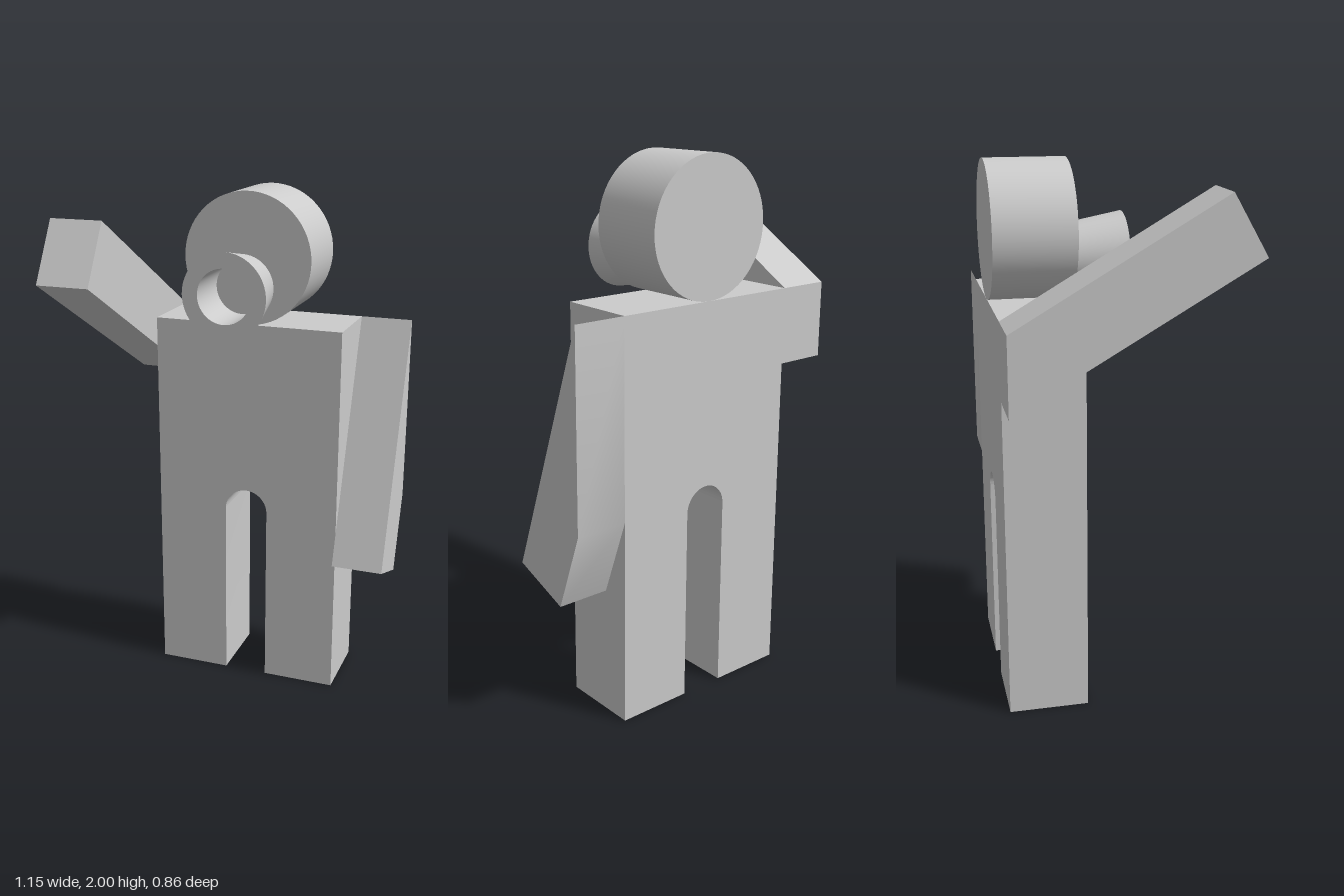
import * as THREE from 'three';
import { toCreasedNormals } from 'three/addons/utils/BufferGeometryUtils.js';

const BACK = -0.432, FRONT = -0.135, DEPTH = FRONT - BACK;
const HALF = 0.375, ARM = 0.2, SHOULDER = 1.5;

export function createModel() {
  const model = new THREE.Group();
  model.name = 'figure';
  const material = new THREE.MeshStandardMaterial({ color: 0xcccccc });

  const add = (name, geometry, x = 0, y = 0, z = 0) => {
    const mesh = new THREE.Mesh(toCreasedNormals(geometry, 0.5), material);
    mesh.name = name;
    mesh.position.set(x, y, z);
    model.add(mesh);
  };

  // Torso and legs: one slab with a round-topped gap between the legs
  const gapLeft = -0.088, gapRight = 0.086;
  const gapMid = (gapLeft + gapRight) / 2, gapRadius = (gapRight - gapLeft) / 2;
  const body = new THREE.Shape();
  body.moveTo(-HALF, 0);
  body.lineTo(gapLeft, 0);
  body.lineTo(gapLeft, 0.82 - gapRadius);
  body.absarc(gapMid, 0.82 - gapRadius, gapRadius, Math.PI, 0, true);
  body.lineTo(gapRight, 0);
  body.lineTo(HALF, 0);
  body.lineTo(HALF, SHOULDER);
  body.lineTo(-HALF, SHOULDER);
  add('body', new THREE.ExtrudeGeometry(body, { depth: DEPTH, bevelEnabled: false, curveSegments: 32 }), 0, 0, BACK);

  // Arms: side profiles as [z, y], cut flush with the back and extruded along x
  const arm = (name, profile, x) => {
    const shape = new THREE.Shape(profile.map(([z, y]) => new THREE.Vector2(-z, y)));
    const geometry = new THREE.ExtrudeGeometry(shape, { depth: ARM, bevelEnabled: false });
    geometry.rotateY(Math.PI / 2);
    add(name, geometry, x);
  };
  arm('leftArm', [[BACK, SHOULDER], [-0.092, 0.565], [-0.324, 0.48], [BACK, 0.775]], HALF);
  arm('rightArm', [[BACK, SHOULDER], [0.307, 1.93], [0.432, 1.715], [BACK, 1.216]], -HALF - ARM);

  // Head: a disc standing on the shoulders
  const head = new THREE.CylinderGeometry(0.25, 0.25, DEPTH, 64);
  head.rotateX(Math.PI / 2);
  add('head', head, 0, 1.75, (BACK + FRONT) / 2);

  // Snout: a flared tube with a straight bore
  const profile = [[0.125, 0], [0.163, 0.2], [0.103, 0.2], [0.103, 0]];
  const snout = new THREE.LatheGeometry(profile.map(([r, h]) => new THREE.Vector2(r, h)), 64);
  snout.rotateX(Math.PI / 2);
  add('snout', snout, -0.02, 1.643, FRONT);

  return model;
}
